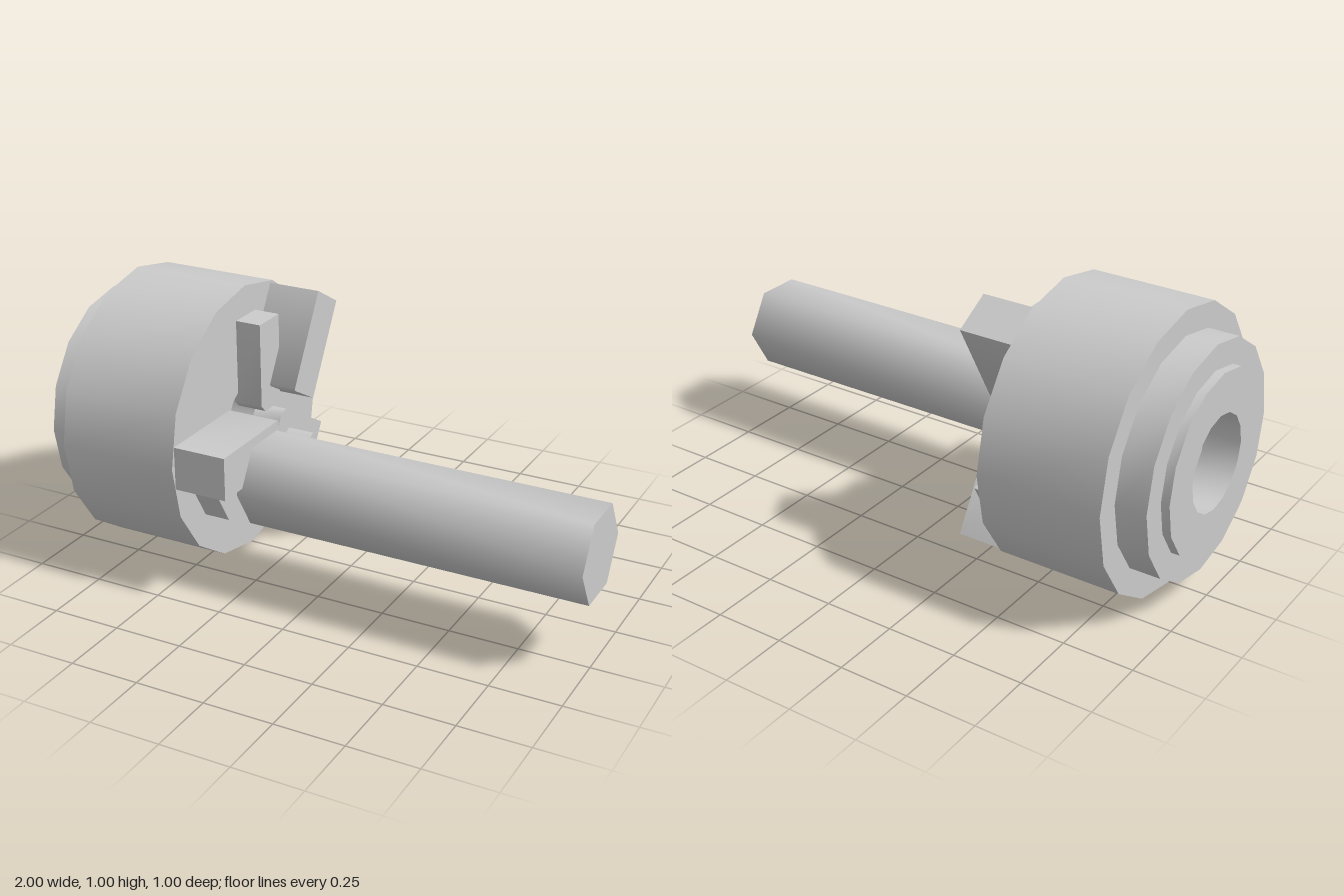
import * as THREE from 'three';
import { toCreasedNormals } from 'three/addons/utils/BufferGeometryUtils.js';

const AXIS_Y = 0.5; // height of the main axis, which runs along x

export function createModel() {
  const model = new THREE.Group();
  const material = new THREE.MeshStandardMaterial({ color: 0xcccccc });

  const add = (name, geometry) => {
    const mesh = new THREE.Mesh(toCreasedNormals(geometry, 1.1), material);
    mesh.name = name;
    model.add(mesh);
    return mesh;
  };

  // Stepped drum with a through bore, wider at the back: [radius, x]
  const profile = [
    [0.17, -1], [0.32, -1], [0.32, -0.97], [0.41, -0.97], [0.41, -0.86],
    [0.5, -0.86], [0.5, -0.415], [0.14, -0.415], [0.12, -0.87], [0.17, -0.87], [0.17, -1],
  ].map(([r, x]) => new THREE.Vector2(r, x));
  const drum = add('drum', new THREE.LatheGeometry(profile, 16).rotateZ(-Math.PI / 2));
  drum.position.y = AXIS_Y;

  // Radial block on the drum face; its inner corners may be cut back
  const addJaw = (name, degrees, width, inner, outer, frontX, cut) => {
    const w = width / 2;
    const backX = -0.43;
    const shape = new THREE.Shape([
      [-w, outer], [-w, inner + cut], [-w + cut, inner],
      [w - cut, inner], [w, inner + cut], [w, outer],
    ].map(([u, v]) => new THREE.Vector2(u, v)));
    const geometry = new THREE.ExtrudeGeometry(shape, { depth: frontX - backX, bevelEnabled: false });
    const jaw = add(name, geometry.rotateY(Math.PI / 2).translate(backX, 0, 0));
    jaw.position.y = AXIS_Y;
    jaw.rotation.x = THREE.MathUtils.degToRad(degrees);
  };

  // Three tall jaws alternating with three low ones
  for (let i = 0; i < 3; i++) {
    addJaw('tallJaw', 90 + i * 120, 0.155, 0.122, 0.483, -0.22, 0.005);
    addJaw('lowJaw', i * 120, 0.13, 0.06, 0.39, -0.32, 0.025);
  }

  // Off-centre hexagonal rod
  const rod = add('rod', new THREE.CylinderGeometry(0.166, 0.166, 1.235, 6).rotateZ(-Math.PI / 2));
  rod.position.set(0.3825, 0.4, 0.22);

  return model;
}
